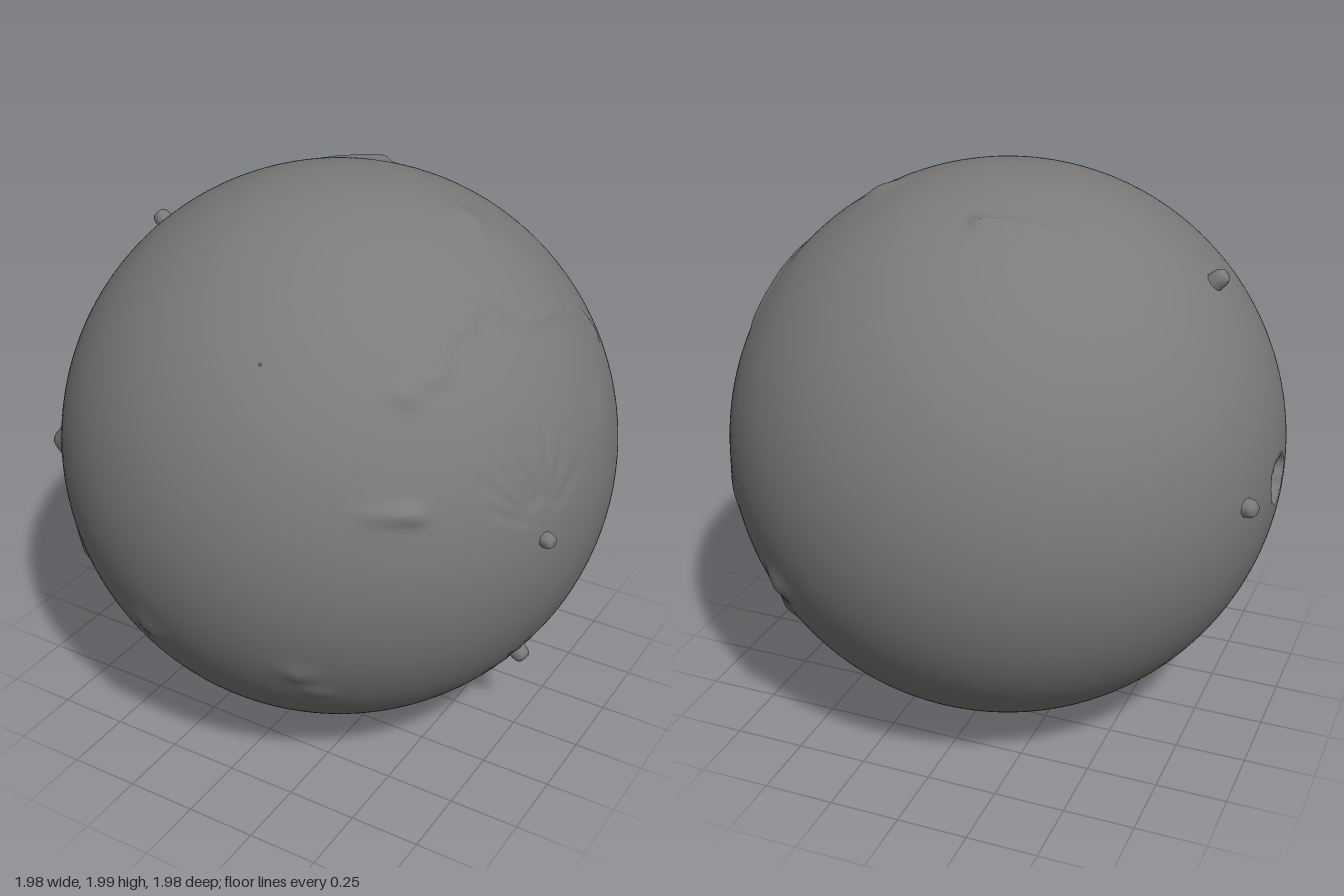
import * as THREE from 'three';
import { mergeVertices } from 'three/addons/utils/BufferGeometryUtils.js';

const R = 0.992;
const CENTER = new THREE.Vector3(-0.003, 1.004, -0.002);

// Unit direction from the centre to a point near the surface
const dir = (x, y, z) => new THREE.Vector3(x, y - 1, z).normalize();
// Direction on the +x side, from z and y only
const side = ([z, y]) => dir(Math.sqrt(Math.max(0, 1 - z * z - (y - 1) ** 2)), y, z);

export function createModel() {
  const group = new THREE.Group();
  const stone = new THREE.MeshStandardMaterial({ color: 0x7c7b7a });
  stone.name = 'grey stone';

  // Relief: each ridge is a segment with a width and a height at each end
  const ridges = [];
  const ridge = (a, b, w, h0, h1 = h0) => ridges.push({ a, ab: b.clone().sub(a), w, h0, h1, mid: a.clone().add(b).multiplyScalar(0.5), reach: a.distanceTo(b) / 2 + w * 2.6 });
  const bump = (x, y, z, w, h) => { const d = dir(x, y, z); ridge(d, d.clone(), w, h); };

  // Pointed bump and soft lumps
  bump(-0.84, 1.0, 0.54, 0.04, 0.042);
  bump(-0.2, 0.22, 0.58, 0.06, 0.02);
  bump(-0.22, 0.62, 0.9, 0.06, 0.012);
  bump(0.35, 0.61, 0.85, 0.05, 0.012);
  bump(0.38, 0.5, 0.78, 0.04, 0.008);
  bump(0.53, 0.68, -0.78, 0.06, 0.022);
  bump(0.44, 1.9, -0.1, 0.06, 0.015);
  bump(0.85, 0.86, -0.5, 0.08, 0.01);
  bump(0.94, 1.3, -0.15, 0.09, 0.008);
  bump(0.28, 0.09, -0.3, 0.025, 0.008);
  ridge(dir(-0.77, 0.78, 0.6), dir(-0.68, 0.64, 0.64), 0.05, 0.008, 0.022);
  ridge(dir(0.65, 0.45, -0.53), dir(0.58, 0.5, -0.61), 0.035, 0.008, 0.014);

  // Tapering ridges on the crown and the front
  ridge(dir(-0.4, 1.86, -0.3), dir(-0.06, 1.92, -0.4), 0.028, 0.001, 0.022);
  ridge(dir(0.52, 1.25, 0.81), dir(0.68, 1.24, 0.69), 0.03, 0.001, 0.025);

  // Winding mountain chain on the +x side
  const chain = [[0.58, 1.57], [0.52, 1.6], [0.46, 1.61], [0.41, 1.67], [0.35, 1.71], [0.3, 1.7], [0.24, 1.75], [0.17, 1.7],
    [0.1, 1.66], [0, 1.65], [-0.12, 1.64], [-0.2, 1.6], [-0.3, 1.55], [-0.37, 1.46]].map(side);
  const chainEnd = chain[0];
  ridge(chainEnd, chainEnd.clone(), 0.035, 0.02);
  for (let i = 0; i < chain.length - 1; i++) {
    ridge(chain[i], chain[i + 1], 0.024, i < 7 ? 0.012 : 0.009, i < 7 ? 0.012 : 0.007);
  }

  // Fans of grooves beside two of the knobs
  const fan = (origin, start, tips) => tips.forEach(tip => {
    const a = side(origin), b = side(tip);
    ridge(a.clone().lerp(b, start).normalize(), b, 0.012, -0.008, -0.003);
  });
  fan([0.31, 1.08], 0.3, [[0.51, 1.21], [0.51, 1.31], [0.45, 1.38], [0.38, 1.39], [0.31, 1.42], [0.22, 1.41], [0.15, 1.34], [0.08, 1.24]]);
  fan([0.02, 0.34], 0.2, [[0.3, 0.26], [0.28, 0.32], [0.26, 0.4], [0.21, 0.46], [0.14, 0.49], [0.06, 0.49]]);

  // Sharp-edged crater on the -x side
  const crater = dir(-1, 1, 0);
  const craterDepth = p => {
    const d = p.distanceTo(crater);
    if (d > 0.12) return 0;
    const a = Math.atan2(p.y, p.z);
    const rim = 0.088 + 0.008 * Math.sin(3 * a) + 0.004 * Math.sin(7 * a);
    return -0.045 * THREE.MathUtils.smoothstep(rim - d, 0, 0.025) + (d < 0.06 ? 0.012 * Math.sin(2 * a) * d / 0.06 : 0);
  };

  const q = new THREE.Vector3();
  const relief = p => {
    let up = 0, down = 0;
    for (const s of ridges) {
      if (p.distanceTo(s.mid) > s.reach) continue;
      const len = s.ab.lengthSq();
      const t = len ? THREE.MathUtils.clamp(q.copy(p).sub(s.a).dot(s.ab) / len, 0, 1) : 0;
      const d = q.copy(s.a).addScaledVector(s.ab, t).normalize().distanceTo(p);
      const h = THREE.MathUtils.lerp(s.h0, s.h1, t) * Math.exp(-((d / s.w) ** 2));
      up = Math.max(up, h);
      down = Math.min(down, h);
    }
    return up + down + craterDepth(p);
  };

  // Ball, with its meridians gathered towards the detailed +x and -x sides
  const U = 240, V = 160;
  let ball = new THREE.SphereGeometry(1, U, V);
  ball.deleteAttribute('uv');
  ball.deleteAttribute('normal');
  const pos = ball.attributes.position, p = new THREE.Vector3();
  for (let i = 0; i < pos.count; i++) {
    const theta = ((i % (U + 1)) / U) * Math.PI * 2;
    const phi = theta - 0.25 * Math.sin(2 * theta);
    const lat = (Math.floor(i / (U + 1)) / V) * Math.PI;
    p.set(-Math.cos(phi) * Math.sin(lat), Math.cos(lat), Math.sin(phi) * Math.sin(lat));
    p.multiplyScalar(R + relief(p));
    pos.setXYZ(i, p.x, p.y, p.z);
  }
  ball = mergeVertices(ball, 1e-5);
  ball.computeVertexNormals();
  const globe = new THREE.Mesh(ball, stone);
  globe.name = 'globe';
  globe.position.copy(CENTER);
  group.add(globe);

  // Stubby rounded knobs standing on the surface
  const knob = (name, d, r, h) => {
    const profile = [[1.1, -0.02], [1, h * 0.35], [0.92, h * 0.75], [0.65, h], [0, h * 1.04]]
      .map(([k, y]) => new THREE.Vector2(k * r, y));
    const mesh = new THREE.Mesh(new THREE.LatheGeometry(profile, 8), stone);
    mesh.name = name;
    mesh.position.copy(CENTER).addScaledVector(d, R);
    mesh.quaternion.setFromUnitVectors(new THREE.Vector3(0, 1, 0), d);
    group.add(mesh);
  };
  knob('upperKnob', dir(-0.75, 1.69, 0), 0.032, 0.05);
  knob('lowerKnob', dir(0.75, 0.33, 0), 0.033, 0.05);
  knob('leftKnob', dir(0.955, 1.03, 0.3), 0.027, 0.034);
  knob('rightKnob', dir(-0.955, 1.02, -0.29), 0.032, 0.038);
  knob('bottomKnob', dir(-0.09, 0.01, -0.1), 0.012, 0.012);
  knob('tinyPimple', dir(0.165, 1.645, 0.746), 0.005, 0.004);

  return group;
}
